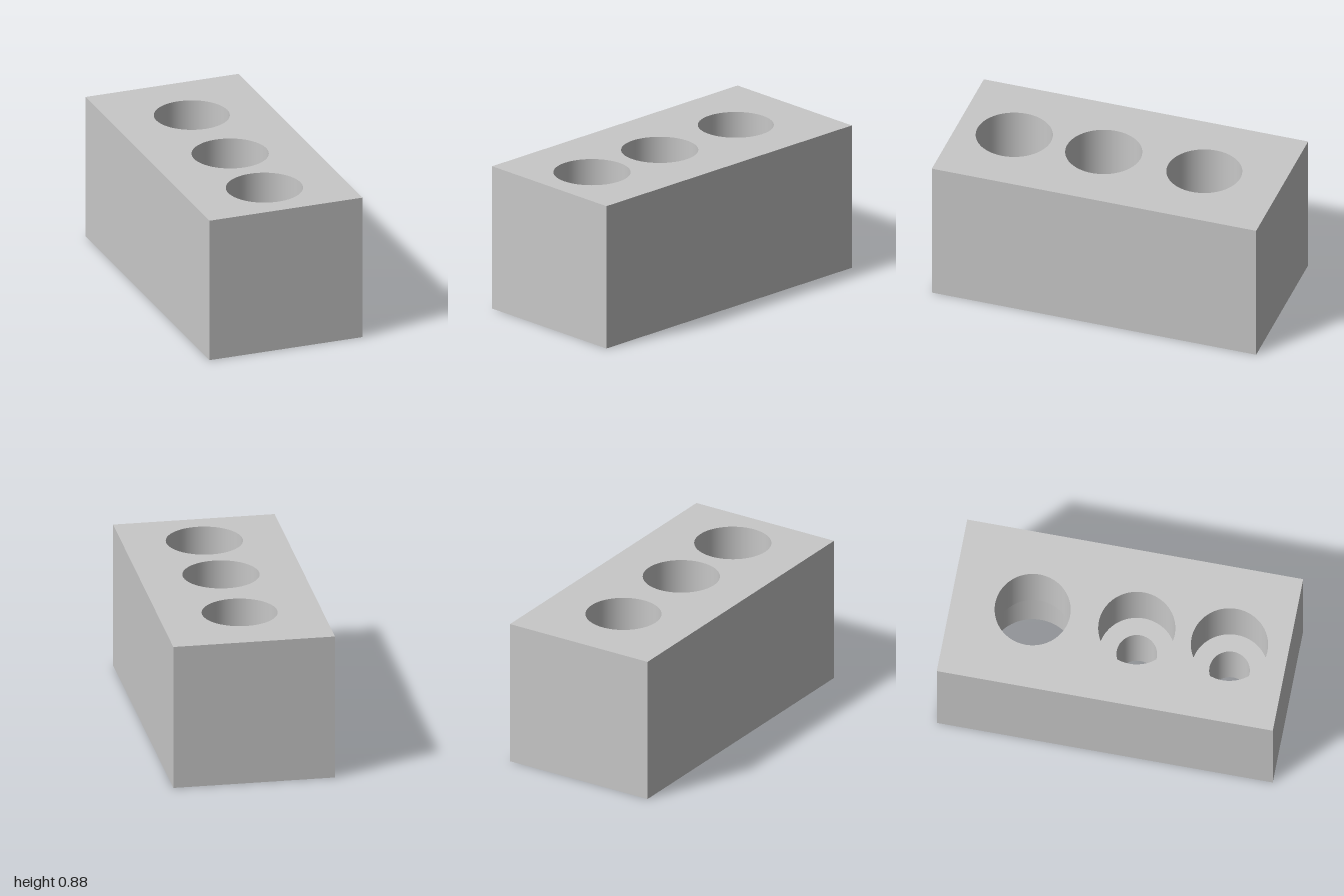
import * as THREE from 'three';

const W = 0.96, H = 0.885, D = 2, STEP = 0.44, SEGMENTS = 64;

// Stepped bores: radius above and below the inner ledge
const BORES = [
  { name: 'backBore', z: -0.52, upper: 0.2225, lower: 0.263 },
  { name: 'middleBore', z: 0.1, upper: 0.226, lower: 0.119 },
  { name: 'frontBore', z: 0.652, upper: 0.226, lower: 0.119 },
];

export function createModel() {
  const model = new THREE.Group();
  model.name = 'boredBlock';
  const grey = new THREE.MeshStandardMaterial({ color: 0xc8c8c8 });
  grey.name = 'grey';

  const add = (name, geometry, parent = model) => {
    const mesh = new THREE.Mesh(geometry, grey);
    mesh.name = name;
    parent.add(mesh);
    return mesh;
  };

  // Rectangular face pierced by one circle per bore; zSign maps z to shape y
  const piercedFace = (radiusKey, zSign) => {
    const shape = new THREE.Shape();
    shape.moveTo(-W / 2, -D / 2).lineTo(W / 2, -D / 2).lineTo(W / 2, D / 2).lineTo(-W / 2, D / 2).closePath();
    for (const bore of BORES) {
      const hole = new THREE.Path();
      hole.absarc(0, zSign * bore.z, bore[radiusKey], 0, Math.PI * 2, true);
      shape.holes.push(hole);
    }
    return new THREE.ShapeGeometry(shape, SEGMENTS / 2);
  };

  // Top and bottom
  add('topFace', piercedFace('upper', -1).rotateX(-Math.PI / 2).translate(0, H, 0));
  add('bottomFace', piercedFace('lower', 1).rotateX(Math.PI / 2));

  // Four outer walls
  ['frontWall', 'leftWall', 'backWall', 'rightWall'].forEach((name, i) => {
    const [width, offset] = i % 2 ? [D, W / 2] : [W, D / 2];
    add(name, new THREE.PlaneGeometry(width, H).translate(0, H / 2, offset).rotateY(i * Math.PI / 2));
  });

  // Bore linings, each piece separate so the ledge keeps crisp edges
  const lining = (r0, y0, r1, y1) =>
    new THREE.LatheGeometry([new THREE.Vector2(r0, y0), new THREE.Vector2(r1, y1)], SEGMENTS);
  for (const { name, z, upper, lower } of BORES) {
    const bore = new THREE.Group();
    bore.name = name;
    bore.position.z = z;
    add('upperLining', lining(upper, H, upper, STEP), bore);
    add('ledge', lining(upper, STEP, lower, STEP), bore);
    add('lowerLining', lining(lower, STEP, lower, 0), bore);
    model.add(bore);
  }
  return model;
}
